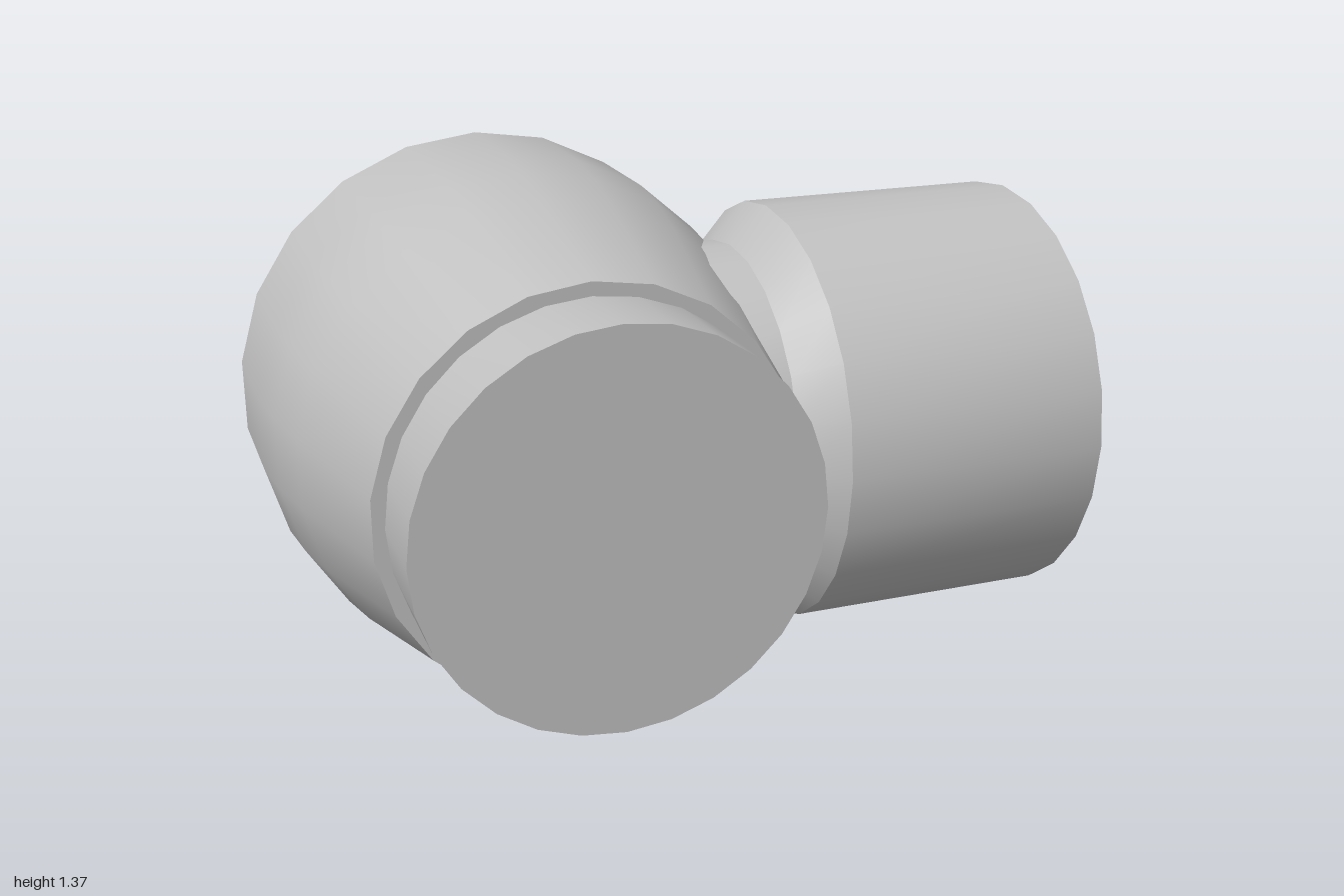
import * as THREE from 'three';
import { toCreasedNormals } from 'three/addons/utils/BufferGeometryUtils.js';

const CX = -0.32; // axis of the main body
const CY = 0.685; // height of both axes

export function createModel() {
  const group = new THREE.Group();
  const grey = new THREE.MeshStandardMaterial({ color: 0xc0c0c0 });
  grey.name = 'plain grey';

  const add = (name, geometry, x, y, z) => {
    const mesh = new THREE.Mesh(toCreasedNormals(geometry, 0.5), grey);
    mesh.name = name;
    mesh.position.set(x, y, z);
    group.add(mesh);
  };
  // Turned part from [radius, distance along axis] pairs
  const turned = (profile, sides) =>
    new THREE.LatheGeometry(profile.map(([r, h]) => new THREE.Vector2(r, h)), sides);

  // Main body, narrowing towards the front
  add('taperedBody', turned([
    [0, -0.59], [0.685, -0.59], [0.685, -0.27], [0.668, -0.11],
    [0.637, 0.05], [0.535, 0.45], [0, 0.45],
  ], 22).rotateX(Math.PI / 2), CX, CY, 0);

  // Round bosses on both ends of the body
  const boss = (from, to) =>
    turned([[0, from], [0.5, from], [0.5, to], [0, to]], 28).rotateX(Math.PI / 2);
  add('frontBoss', boss(0.4, 0.675), CX, CY, 0);
  add('backBoss', boss(-0.68, -0.55), CX, CY, 0);

  // Side socket with neck, chamfer and blind bore
  add('sideSocket', turned([
    [0, -0.1], [0.465, -0.1], [0.465, 0.2], [0.56, 0.3], [0.56, 1],
    [0.345, 1], [0.345, 0.84], [0, 0.84],
  ], 24).rotateZ(-Math.PI / 2), 0, CY, 0);

  // Small stop tab between the neck and the back of the body
  const tab = new THREE.Shape([
    [0.05, 0.2], [0.21, 0.2], [0.25, 0.24], [0.25, 0.5], [0.05, 0.5],
  ].map(([x, y]) => new THREE.Vector2(x, y)));
  add('stopTab', new THREE.ExtrudeGeometry(tab, { depth: 0.38, bevelEnabled: false }), 0, 0, -0.52);

  return group;
}
